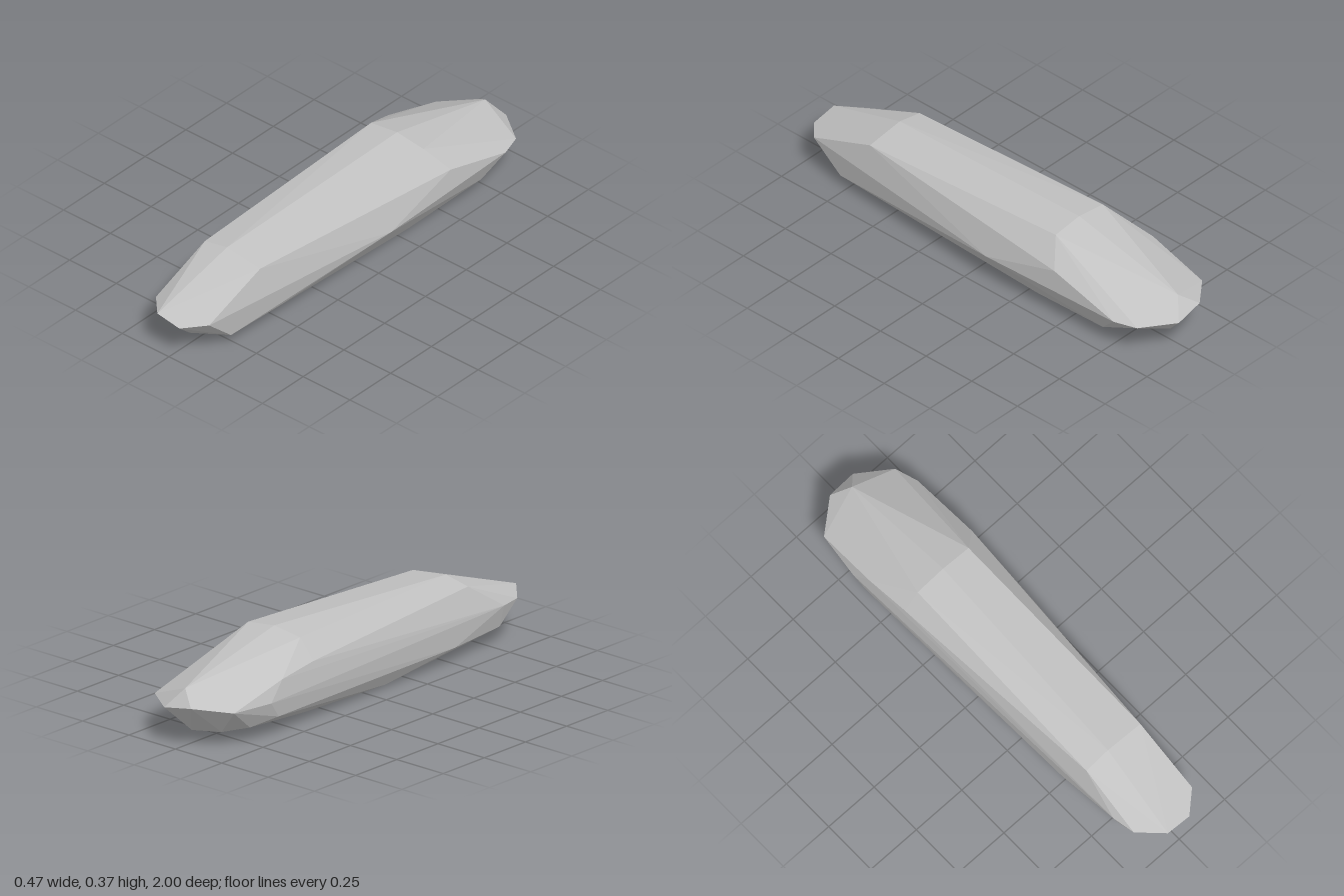
import * as THREE from 'three';
import { ConvexGeometry } from 'three/addons/geometries/ConvexGeometry.js';

// Corner points of the faceted stone, grouped by region: [x, y, z]
const corners = {
  topRidge: [
    [-0.148, 0.296, 0.61], [-0.03, 0.319, 0.61], [0.148, 0.296, 0.61],
    [-0.14, 0.35, -0.4], [0, 0.368, -0.4], [0.14, 0.35, -0.4],
  ],
  frontTip: [
    [-0.157, 0.17, 0.9], [-0.062, 0.184, 1], [0.056, 0.164, 1], [0.145, 0.178, 0.92],
    [-0.15, 0.073, 0.8], [-0.01, 0.04, 0.86], [0.14, 0.055, 0.78],
  ],
  leftSide: [
    [0.16, 0.065, 0.5], [0.225, 0.25, -0.47], [0.23, 0.14, -0.1],
    [0.232, 0.165, -0.8], [0.188, 0.065, -0.7],
  ],
  rightSide: [
    [-0.176, 0.17, 0.8], [-0.18, 0.072, 0.5], [-0.21, 0.265, -0.4],
    [-0.222, 0.245, -0.6], [-0.234, 0.165, -0.68], [-0.22, 0.09, -0.62],
  ],
  underside: [
    [-0.08, 0.002, 0.5], [0.05, 0, 0.5], [0.1, 0.008, 0.2],
    [-0.157, 0.016, 0.1], [0.145, 0.013, -0.3], [-0.13, 0.016, -0.35],
  ],
  backTip: [
    [-0.21, 0.17, -0.88], [-0.075, 0.187, -0.99], [0.06, 0.165, -1], [0.2, 0.165, -0.9],
    [0, 0.245, -0.94], [-0.18, 0.068, -0.75], [-0.116, 0.06, -0.85], [0, 0.055, -0.9],
  ],
};

export function createModel() {
  const group = new THREE.Group();
  group.name = 'stone';
  const grey = new THREE.MeshStandardMaterial({ color: 0xc2c2c2 });
  grey.name = 'stone grey';

  // Convex hull gives one flat normal per facet
  const points = Object.values(corners).flat().map((p) => new THREE.Vector3(...p));
  const stone = new THREE.Mesh(new ConvexGeometry(points), grey);
  stone.name = 'facetedStone';
  group.add(stone);
  return group;
}
